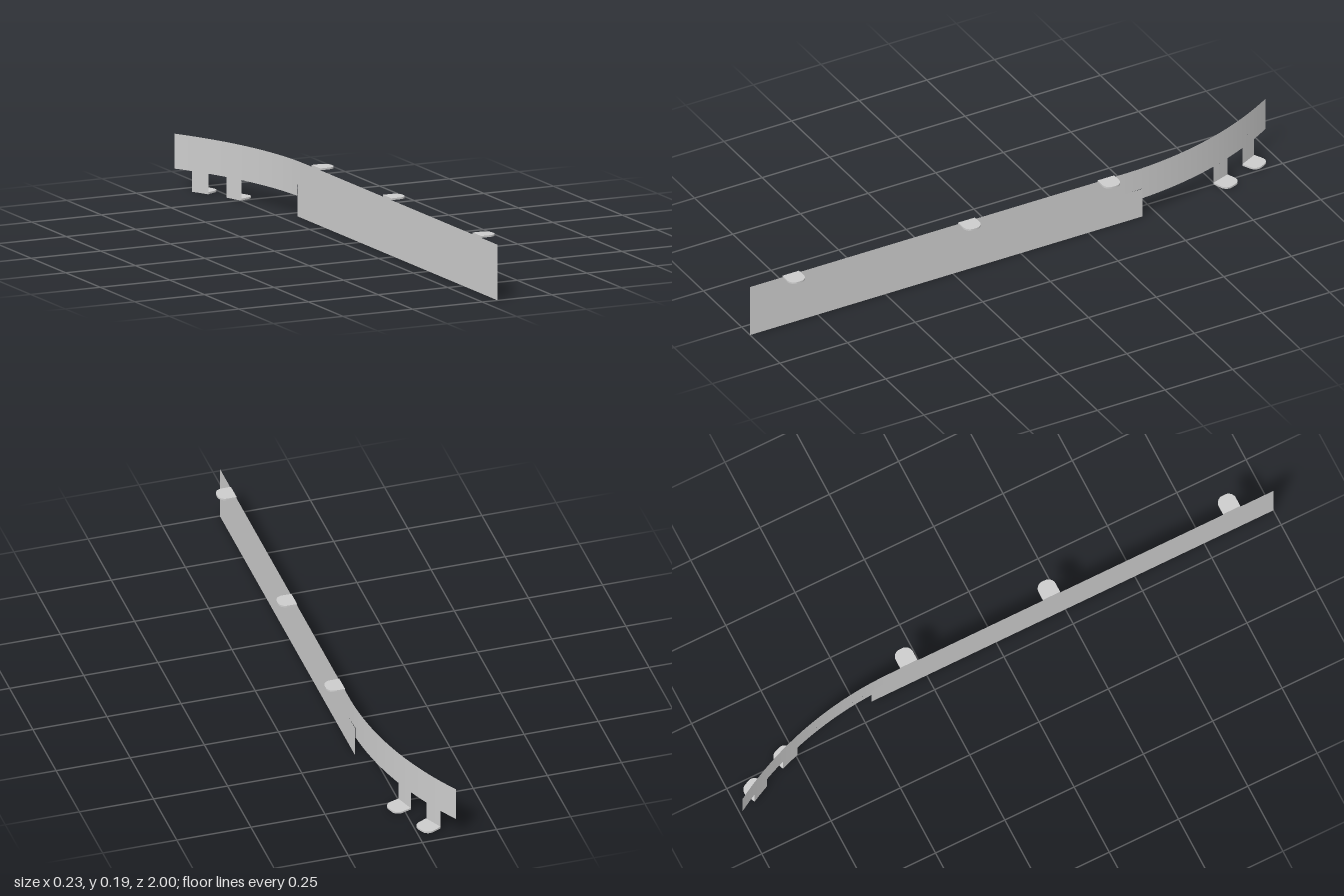
import * as THREE from 'three';

const WALL_X = 0.0555, TOP = 0.183, BEND_Z = -0.385, RADIUS = 1.203;

// Plan of the panel: straight, then an arc swinging towards -x
const bendAngle = (z) => (z < BEND_Z ? Math.asin((BEND_Z - z) / RADIUS) : 0);
const bentX = (z) => WALL_X - RADIUS * (1 - Math.cos(bendAngle(z)));

export function createModel() {
  const group = new THREE.Group();
  const material = new THREE.MeshStandardMaterial({ color: 0xcccccc, side: THREE.DoubleSide });

  const add = (name, geometry) => {
    const mesh = new THREE.Mesh(geometry, material);
    mesh.name = name;
    group.add(mesh);
    return mesh;
  };

  // Upright sheet between two z and two y values, following the plan if bent
  const sheet = (name, zFront, zBack, yLow, yHigh, bent) => {
    const segments = bent ? Math.max(4, Math.ceil((zFront - zBack) * 50)) : 1;
    const geometry = new THREE.PlaneGeometry(zFront - zBack, yHigh - yLow, segments, 1);
    geometry.rotateY(Math.PI / 2);
    geometry.translate(0, (yLow + yHigh) / 2, (zFront + zBack) / 2);
    const p = geometry.attributes.position, n = geometry.attributes.normal;
    for (let i = 0; i < p.count; i++) {
      const z = p.getZ(i), a = bent ? bendAngle(z) : 0;
      p.setX(i, bent ? bentX(z) : WALL_X);
      n.setXYZ(i, Math.cos(a), 0, -Math.sin(a));
    }
    return add(name, geometry);
  };

  // Flat panel, with a fine slit where the bent upper strip leaves it
  sheet('straightPanel', 1, BEND_Z, 0, TOP, false);
  sheet('straightPanelEnd', BEND_Z, -0.45, 0, 0.105, false);
  sheet('curvedPanelUpper', BEND_Z, -1, 0.105, TOP, true);
  sheet('curvedPanelLower', -0.45, -1, 0.068, 0.105, true);

  // Flat mounting tab with a straight root and rounded tip
  const tab = (name, x, y, z, width, angle) => {
    const h = width / 2, length = 0.0575, r = 0.026;
    const shape = new THREE.Shape();
    shape.moveTo(0, -h);
    shape.lineTo(length - r, -h);
    shape.absarc(length - r, -h + r, r, -Math.PI / 2, 0, false);
    shape.absarc(length - r, h - r, r, 0, Math.PI / 2, false);
    shape.lineTo(0, h);
    shape.closePath();
    const geometry = new THREE.ExtrudeGeometry(shape, { depth: 0.006, bevelEnabled: false, curveSegments: 10 });
    geometry.rotateX(-Math.PI / 2);
    const mesh = add(name, geometry);
    mesh.position.set(x, y, z);
    mesh.rotation.y = angle;
  };

  // Tabs along the top edge
  [0.85, 0.2, -0.315].forEach((z, i) => tab('topTab' + (i + 1), WALL_X, TOP, z, 0.062, 0));

  // Legs below the curved part, each folded into a tab at the foot
  [[-0.744, -0.808], [-0.88, -0.94]].forEach(([zFront, zBack], i) => {
    sheet('leg' + (i + 1), zFront, zBack, 0, 0.068, true);
    const z = (zFront + zBack) / 2;
    tab('footTab' + (i + 1), bentX(z), 0.001, z, 0.068, bendAngle(z));
  });

  return group;
}
